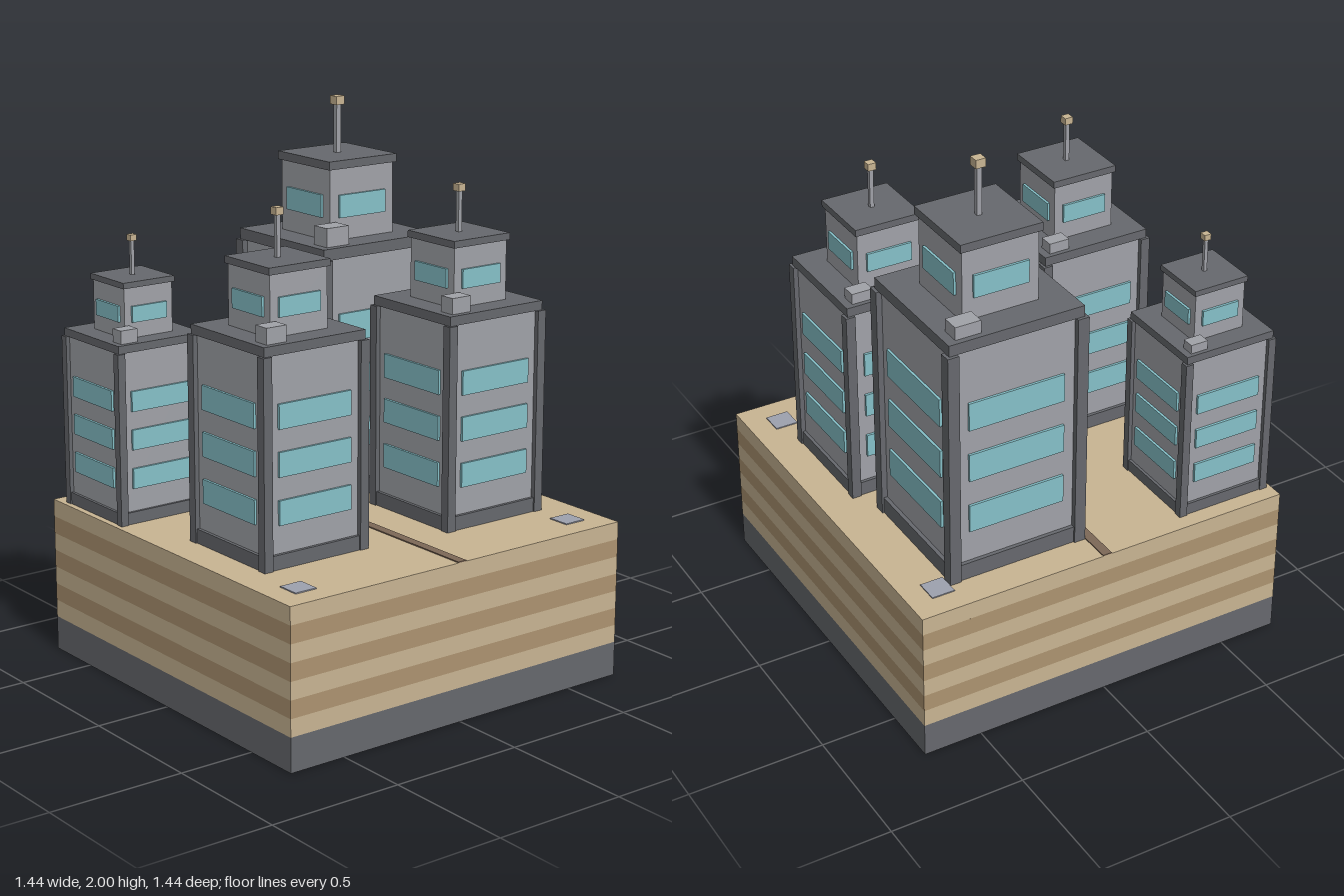
import * as THREE from 'three';

const mat = (name, color) => new THREE.MeshStandardMaterial({ name, color });

export function createModel() {
  const M = {
    dark: mat('dark grey', 0x66686d),
    sand: mat('sand', 0xc8b492),
    clay: mat('clay brown', 0xac9370),
    wall: mat('light grey', 0xa0a2a8),
    glass: mat('teal glass', 0x85c0c8),
    groove: mat('groove brown', 0x7d6857),
    pad: mat('pad blue grey', 0x9da1ae),
  };

  // box standing on y0
  const box = (parent, name, material, w, h, d, x, y0, z) => {
    const m = new THREE.Mesh(new THREE.BoxGeometry(w, h, d), material);
    m.name = name;
    m.position.set(x, y0 + h / 2, z);
    parent.add(m);
    return m;
  };

  const model = new THREE.Group();
  model.name = 'towerBlock';

  // layered base
  const SIDE = 1.44, FOOT = 0.125, TOP = 0.575, LAYERS = 7;
  const base = new THREE.Group();
  base.name = 'base';
  model.add(base);
  box(base, 'footing', M.dark, SIDE, FOOT, SIDE, 0, 0, 0);
  const step = (TOP - FOOT) / LAYERS;
  for (let i = 0; i < LAYERS; i++)
    box(base, 'stratum', i % 2 ? M.clay : M.sand, SIDE, step, SIDE, 0, FOOT + i * step, 0);

  // ground markings
  box(base, 'groundGroove', M.groove, 0.034, 0.004, SIDE, 0, TOP, 0);
  for (const x of [-0.593, 0.593])
    for (const z of [-0.593, 0.593])
      box(base, 'groundPad', M.pad, 0.085, 0.004, 0.085, x, TOP, z);

  // thin window plates on all four sides of a square block
  const windows = (parent, half, w, h, yMid) => {
    const t = 0.009;
    for (let k = 0; k < 4; k++) {
      const a = k * Math.PI / 2, r = half + t / 2;
      const m = box(parent, 'window', M.glass, w, h, t, Math.sin(a) * r, yMid - h / 2, Math.cos(a) * r);
      m.rotation.y = a;
    }
  };

  // tower with half width r and wall height h
  const tower = (name, x, z, r, h) => {
    const g = new THREE.Group();
    g.name = name;
    g.position.set(x, TOP, z);
    model.add(g);
    const block = (n, m, half, y0, hh) => box(g, n, m, half * 2, hh, half * 2, 0, y0, 0);

    // main body with corner posts
    block('plinth', M.dark, r * 0.975, 0, h * 0.07);
    block('body', M.wall, r * 0.92, h * 0.07, h * 0.93);
    const p = r * 0.16;
    for (const sx of [-1, 1])
      for (const sz of [-1, 1])
        box(g, 'cornerPost', M.dark, p, h, p, sx * (r - p / 2), 0, sz * (r - p / 2));
    for (const y of [0.264, 0.491, 0.715]) windows(g, r * 0.92, r * 1.37, h * 0.118, h * y);
    block('roofSlab', M.dark, r * 0.957, h, h * 0.046);

    // roof units
    const roof = h * 1.046;
    box(g, 'roofUnit', M.wall, r * 0.37, h * 0.077, r * 0.285, -r * 0.647, roof, r * 0.713);
    box(g, 'roofUnit', M.wall, r * 0.36, h * 0.053, r * 0.25, r * 0.647, roof, -r * 0.754);

    // penthouse and antenna
    block('penthouse', M.wall, r * 0.54, roof, h * 0.29);
    windows(g, r * 0.54, r * 0.78, h * 0.093, h * 1.183);
    block('penthouseCap', M.dark, r * 0.577, h * 1.336, h * 0.034);
    block('mast', M.wall, r * 0.035, h * 1.37, h * 0.198);
    block('mastLamp', M.sand, r * 0.07, h * 1.566, h * 0.035);
  };

  tower('backLeftTower', 0.283, -0.338, 0.265, 0.89);
  tower('frontLeftTower', 0.378, 0.234, 0.219, 0.735);
  tower('frontRightTower', -0.379, 0.196, 0.219, 0.735);
  tower('backRightTower', -0.518, -0.478, 0.184, 0.62);

  return model;
}
